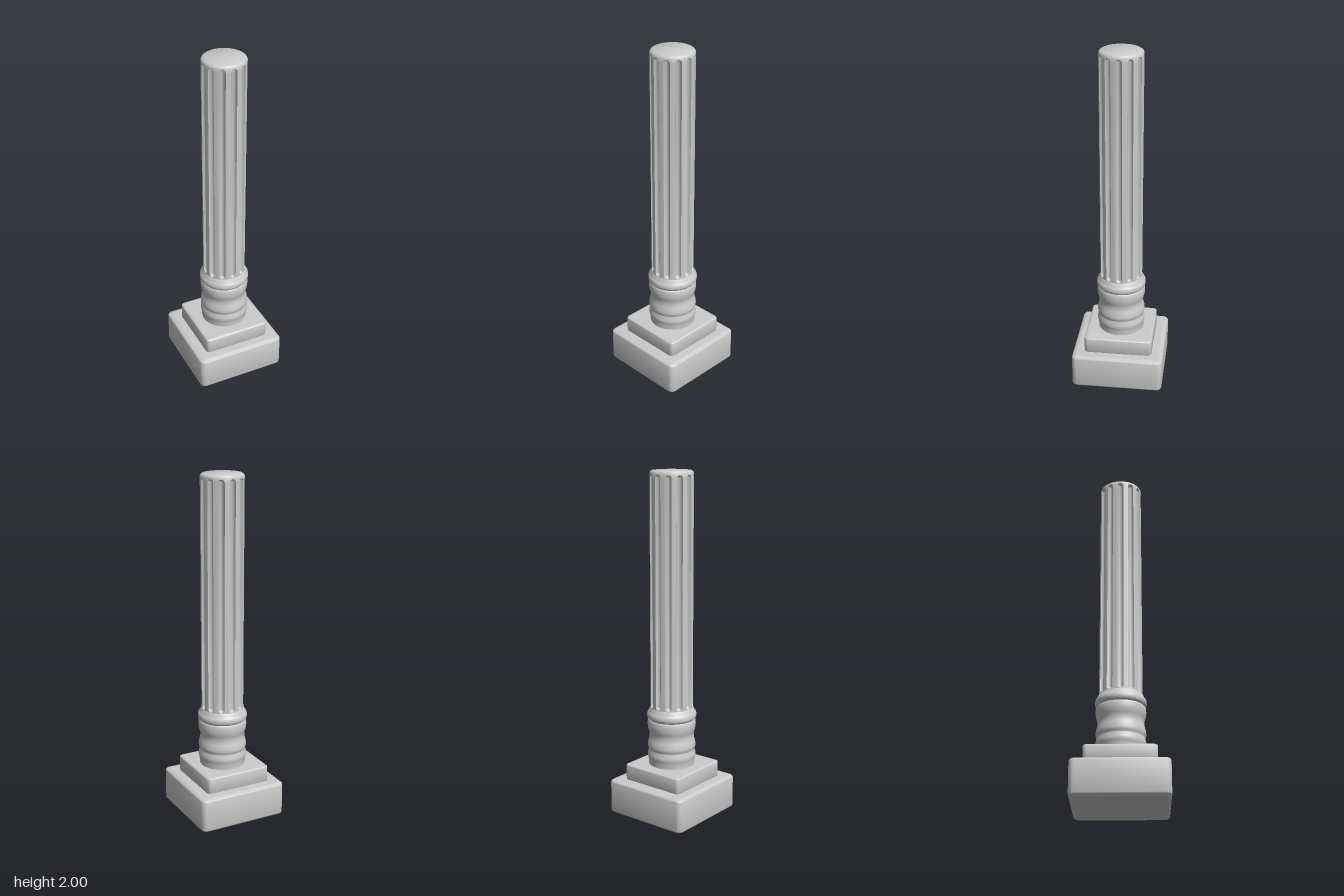
import * as THREE from 'three';
import { toCreasedNormals } from 'three/addons/utils/BufferGeometryUtils.js';

const material = new THREE.MeshStandardMaterial({ color: 0xcccccc });

// Square slab with rounded corners and softened top and bottom edges
function slab(name, half, y0, y1, bevel, soft) {
  const h = half - bevel, r = 0.007;
  const s = new THREE.Shape();
  s.moveTo(h - r, -h);
  for (let i = 0; i < 4; i++) {
    const a = (i * Math.PI) / 2, sx = i === 0 || i === 3 ? -1 : 1;
    const cx = i === 0 || i === 1 ? h - r : r - h;
    const cy = i === 1 || i === 2 ? h - r : r - h;
    s.absarc(cx, cy, r, a - Math.PI / 2, a, false);
  }
  s.closePath();
  const geo = new THREE.ExtrudeGeometry(s, {
    depth: y1 - y0 - 2 * soft, bevelSize: bevel, bevelThickness: soft, bevelSegments: 4, curveSegments: 4,
  });
  geo.rotateX(-Math.PI / 2);
  geo.translate(0, y0 + soft, 0);
  const mesh = new THREE.Mesh(toCreasedNormals(geo, 0.7), material);
  mesh.name = name;
  return mesh;
}

// Turned mouldings between plinth and shaft
function moulding() {
  const curve = (pts) => new THREE.SplineCurve(pts.map(([r, y]) => new THREE.Vector2(r, y))).getPoints(pts.length * 4);
  const profile = [
    new THREE.Vector2(0.134, 0.29),
    ...curve([[0.134, 0.31], [0.136, 0.33], [0.141, 0.355], [0.136, 0.38], [0.134, 0.39], [0.14, 0.41],
      [0.137, 0.435], [0.13, 0.465], [0.131, 0.49], [0.138, 0.515], [0.141, 0.54], [0.139, 0.565]]),
    new THREE.Vector2(0.132, 0.572),
    ...curve([[0.136, 0.575], [0.143, 0.585], [0.144, 0.6], [0.141, 0.612], [0.134, 0.622], [0.128, 0.635], [0.122, 0.645]]),
  ];
  const geo = new THREE.LatheGeometry(profile, 64);
  const mesh = new THREE.Mesh(toCreasedNormals(geo, 0.8), material);
  mesh.name = 'baseMoulding';
  return mesh;
}

// Shaft with round-bottomed flutes that close in arches at both ends
function shaft() {
  const R = 0.123, flutes = 12, w = 0.018, low = 0.663, high = 1.962;
  const step = (2 * Math.PI) / flutes, edge = w / R;
  const angles = [];
  for (let f = 0; f < flutes; f++) {
    for (let i = 0; i <= 10; i++) angles.push([f * step - edge * Math.cos((i * Math.PI) / 10), Math.sin((i * Math.PI) / 10) * w]);
    for (let i = 1; i < 4; i++) angles.push([f * step + edge + ((step - 2 * edge) * i) / 4, 0]);
  }
  const column = ([a, arch]) => {
    const pts = [[R, 0.63]];
    const n = 6;
    for (let i = 0; i <= n; i++) {
      const t = (i * Math.PI) / 2 / n;
      pts.push([R - arch * Math.sin(t), low - arch * Math.cos(t)]);
    }
    for (let i = n; i >= 0; i--) {
      const t = (i * Math.PI) / 2 / n;
      pts.push([R - arch * Math.sin(t), high + arch * Math.cos(t)]);
    }
    pts.push([R, 1.986], [R - 0.004, 1.994], [R - 0.013, 2], [0, 2]);
    return pts.map(([r, y]) => [r * Math.sin(a), y, r * Math.cos(a)]);
  };
  const columns = angles.map(column), rows = columns[0].length;
  const index = [];
  columns.forEach((_, c) => {
    const next = (c + 1) % columns.length;
    for (let j = 0; j < rows - 1; j++) {
      const a = c * rows + j, b = next * rows + j;
      index.push(a, b, b + 1, a, b + 1, a + 1);
    }
  });
  const geo = new THREE.BufferGeometry();
  geo.setAttribute('position', new THREE.Float32BufferAttribute(columns.flat(2), 3));
  geo.setIndex(index);
  const mesh = new THREE.Mesh(toCreasedNormals(geo, 0.6), material);
  mesh.name = 'flutedShaft';
  return mesh;
}

export function createModel() {
  const group = new THREE.Group();
  group.name = 'column';
  const pillar = new THREE.Group();
  pillar.name = 'pillar';
  pillar.position.x = 0.005;
  pillar.add(moulding(), shaft());
  group.add(
    slab('lowerPlinth', 0.267, 0, 0.205, 0.027, 0.016),
    slab('upperPlinth', 0.199, 0.19, 0.298, 0.018, 0.008),
    pillar,
  );
  return group;
}
